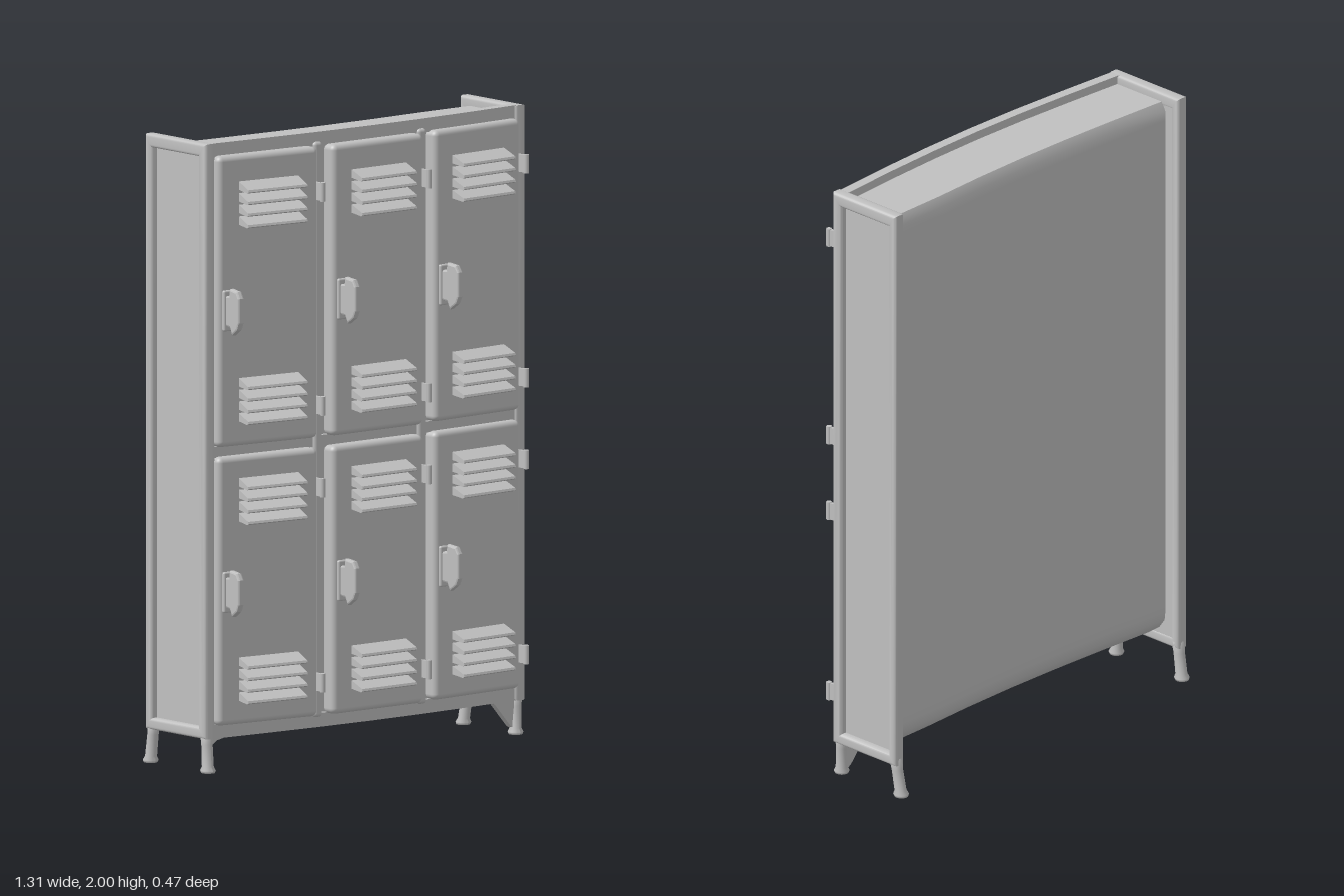
import * as THREE from 'three';
import { RoundedBoxGeometry } from 'three/addons/geometries/RoundedBoxGeometry.js';
import { toCreasedNormals } from 'three/addons/utils/BufferGeometryUtils.js';

export function createModel() {
  const model = new THREE.Group();
  const steel = new THREE.MeshStandardMaterial({ color: 0xc0c0c0 });
  steel.name = 'grey steel';

  const add = (parent, name, geo, x = 0, y = 0, z = 0) => {
    const m = new THREE.Mesh(geo, steel);
    m.name = name;
    m.position.set(x, y, z);
    parent.add(m);
    return m;
  };
  const polygon = pts => new THREE.Shape(pts.map(p => new THREE.Vector2(...p)));

  // Bowed plan outlines as [x, z], raised between two heights
  const slab = (plan, y0, y1, steps = 1) => {
    const geo = new THREE.ExtrudeGeometry(polygon(plan.map(([x, z]) => [x, -z])), { depth: y1 - y0, steps, bevelEnabled: false });
    geo.rotateX(-Math.PI / 2);
    geo.translate(0, y0, 0);
    return geo;
  };
  const front = [[-0.622, 0.084], [-0.4, 0.094], [-0.2, 0.1], [0, 0.1], [0.2, 0.093], [0.4, 0.08], [0.622, 0.06]];
  const back = [[0.622, -0.173], [0.4, -0.165], [0.2, -0.152], [0, -0.145], [-0.2, -0.144], [-0.4, -0.148], [-0.622, -0.155]];
  const frontZ = x => {
    const i = Math.max(1, front.findIndex(p => p[0] >= x));
    const [a, b] = [front[i - 1], front[i]];
    return a[1] + (b[1] - a[1]) * (x - a[0]) / (b[0] - a[0]);
  };
  const strip = depth => [...front.map(([x, z]) => [x, z + 0.004]), ...front.map(([x, z]) => [x, z - depth]).reverse()];

  // Cabinet body: the back panel curls inwards at its top and bottom edges
  const body = slab([...front.map(([x, z]) => [x, z - 0.012]), ...back], 0.13, 1.972, 60);
  const p = body.attributes.position;
  for (let i = 0; i < p.count; i++) {
    if (p.getZ(i) > 0) continue;
    const low = Math.max(0, (0.21 - p.getY(i)) / 0.08);
    const high = Math.max(0, (p.getY(i) - 1.94) / 0.032);
    p.setZ(i, p.getZ(i) + 0.07 * low * low + 0.015 * high * high);
  }
  add(model, 'cabinetBody', toCreasedNormals(body, 0.6));
  add(model, 'topRail', toCreasedNormals(slab(strip(0.03), 1.955, 2), 0.5));
  add(model, 'bottomRail', toCreasedNormals(slab(strip(0.035), 0.108, 0.152), 0.5));
  add(model, 'middleRail', toCreasedNormals(slab(strip(0.02), 1.0, 1.035), 0.5));

  // Upright dividers between the columns
  for (const x of [-0.215, 0.21])
    add(model, 'divider', new RoundedBoxGeometry(0.036, 1.83, 0.04, 2, 0.012), x, 1.055, frontZ(x) - 0.006);

  // Side frames with a recessed panel
  const makeSide = (side, z0, z1) => {
    const b = 0.01, w = z1 - z0;
    const rect = (u0, v0, u1, v1) => [[u0, v0], [u1, v0], [u1, v1], [u0, v1]];
    const shape = polygon(rect(b, 0.108 + b, w - b, 2 - b));
    shape.holes.push(polygon(rect(0.032 - b, 0.145 - b, w - 0.038 + b, 1.958 + b)));
    const geo = new THREE.ExtrudeGeometry(shape, { depth: 0.022, bevelThickness: b, bevelSize: b, bevelSegments: 3 });
    geo.rotateY(-Math.PI / 2);
    geo.translate(0.021 - b, 0, z0);
    add(model, 'sideFrame', toCreasedNormals(geo, 0.6), side * 0.634);
    add(model, 'sidePanel', new THREE.BoxGeometry(0.016, 1.84, w - 0.04), side * 0.623, 1.055, (z0 + z1) / 2);

    // Splayed round legs with flared feet
    for (const [z, zFoot] of [[z1 - 0.022, z1 - 0.014], [z0 + 0.02, z0 + 0.002]]) {
      const profile = [[0, 0], [0.022, 0], [0.025, 0.008], [0.019, 0.02], [0.018, 0.09], [0.021, 0.13], [0, 0.13]];
      const leg = new THREE.LatheGeometry(profile.map(q => new THREE.Vector2(...q)), 16);
      const pos = leg.attributes.position;
      for (let i = 0; i < pos.count; i++) {
        const t = 1 - pos.getY(i) / 0.13;
        pos.setZ(i, pos.getZ(i) + (zFoot - z) * t);
        pos.setX(i, pos.getX(i) - (side > 0 ? 0.008 * t : 0));
      }
      leg.computeVertexNormals();
      add(model, 'leg', leg, side * 0.633, 0, z);
    }
  };
  makeSide(-1, -0.212, 0.092);
  makeSide(1, -0.208, 0.07);

  // Corner gussets behind the front legs
  const gusset = (name, pts, z) =>
    add(model, name, new THREE.ExtrudeGeometry(polygon(pts), { depth: 0.024, bevelEnabled: false }), 0, 0, z);
  gusset('leftGusset', [[0.625, 0.015], [0.625, 0.12], [0.51, 0.12], [0.54, 0.1], [0.605, 0.025]], 0.036);
  gusset('rightGusset', [[-0.62, 0.085], [-0.6, 0.1], [-0.55, 0.11], [-0.55, 0.12], [-0.62, 0.12]], 0.056);

  // Extrusion of a [z, y] profile along x, centred
  const alongX = (pts, width, bevel = 0) => {
    const geo = new THREE.ExtrudeGeometry(polygon(pts), {
      depth: width - 2 * bevel, bevelEnabled: bevel > 0, bevelSize: bevel, bevelThickness: bevel, bevelSegments: 2,
    });
    geo.translate(0, 0, -(width - 2 * bevel) / 2);
    geo.rotateY(-Math.PI / 2);
    return geo;
  };
  const slatGeo = alongX([[-0.005, -0.01], [0.046, -0.017], [0.054, -0.013], [0.051, -0.006], [-0.005, 0.018]], 0.225);
  const handleGeo = alongX([[-0.005, -0.04], [0.034, -0.045], [0.044, -0.066], [0.066, -0.05],
    [0.075, -0.03], [0.075, 0.045], [0.065, 0.062], [0.034, 0.066], [0.032, 0.045], [-0.005, 0.04]], 0.022, 0.006);

  // Three columns of two doors, each following the bowed front
  const columns = [
    { x: -0.432, z: 0.131, turn: -0.08, w: 0.38 },
    { x: 0, z: 0.147, turn: 0.03, w: 0.375 },
    { x: 0.433, z: 0.108, turn: 0.095, w: 0.375 },
  ];
  const rows = [
    { y0: 1.035, y1: 1.96, vents: [1.805, 1.18], handle: 1.47, hinges: [1.82, 1.14] },
    { y0: 0.15, y1: 1.003, vents: [0.862, 0.292], handle: 0.575, hinges: [0.88, 0.26] },
  ];
  for (const c of columns) {
    const column = new THREE.Group();
    column.name = 'doorColumn';
    column.position.set(c.x, 0, c.z);
    column.rotation.y = c.turn;
    model.add(column);
    for (const r of rows) {
      add(column, 'door', new RoundedBoxGeometry(c.w, r.y1 - r.y0, 0.056, 4, 0.018), 0, (r.y0 + r.y1) / 2, -0.028);
      for (const y of r.vents)
        for (let i = 0; i < 4; i++) add(column, 'ventSlat', slatGeo, 0, y + (i - 1.5) * 0.037, 0);
      const hx = -c.w / 2 + 0.032;
      add(column, 'handlePlate', new RoundedBoxGeometry(0.036, 0.13, 0.014, 2, 0.006), hx, r.handle, 0.003);
      add(column, 'handle', handleGeo, hx, r.handle, 0);
      for (const y of r.hinges) {
        add(column, 'hinge', new THREE.CylinderGeometry(0.009, 0.009, 0.06, 10), c.w / 2 - 0.002, y, 0.026);
        add(column, 'hingeLeaf', new THREE.BoxGeometry(0.01, 0.056, 0.045), c.w / 2 - 0.003, y, 0.004);
      }
    }
  }
  return model;
}
